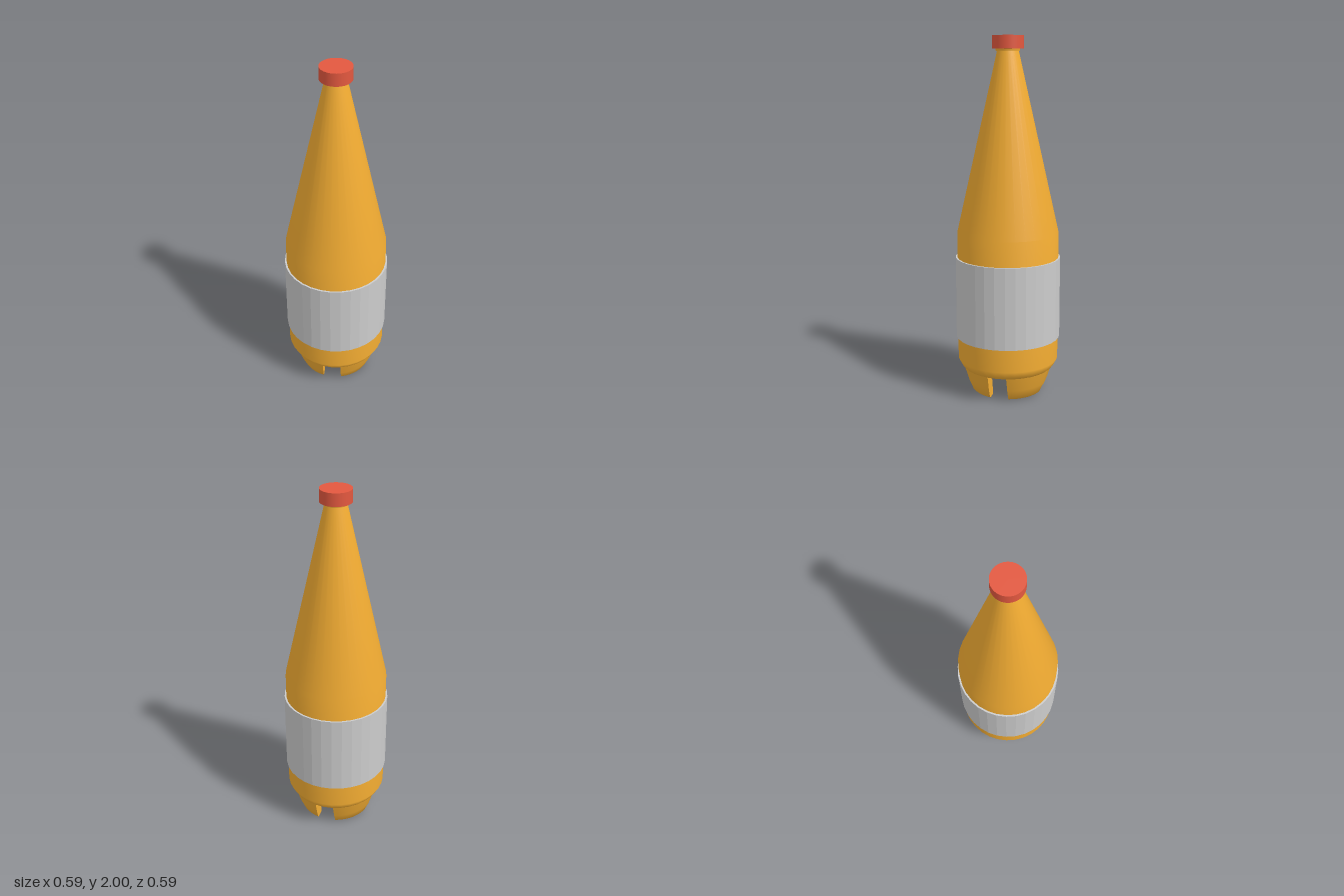
import * as THREE from 'three';
import { toCreasedNormals } from 'three/addons/utils/BufferGeometryUtils.js';

const SIDES = 32;
const SLOT_HALF = 0.053; // half width of the slots between the feet

// One foot: a closed radial section swept about the axis, trimmed by parallel-sided slots
function footGeometry() {
  const section = [[0.252, 0.142], [0.227, 0.06], [0.205, 0.008], [0.195, 0],
    [0.148, 0], [0.142, 0.01], [0.153, 0.06], [0.168, 0.142]];
  const n = section.length, steps = 12, pos = [], idx = [];
  for (let i = 0; i <= steps; i++) {
    for (const [r, y] of section) {
      const a = (Math.PI / 4 - Math.asin(SLOT_HALF / r)) * (2 * i / steps - 1);
      pos.push(r * Math.sin(a), y, r * Math.cos(a));
    }
  }
  for (let i = 0; i < steps; i++) {
    for (let j = 0; j < n; j++) {
      const k = (j + 1) % n;
      const a = i * n + j, b = i * n + k, c = a + n, d = b + n;
      idx.push(a, b, c, b, d, c);
    }
  }
  // slot walls
  const last = steps * n;
  for (let j = 1; j < n - 1; j++) {
    idx.push(0, j + 1, j, last, last + j, last + j + 1);
  }
  const g = new THREE.BufferGeometry();
  g.setAttribute('position', new THREE.Float32BufferAttribute(pos, 3));
  g.setIndex(idx);
  return toCreasedNormals(g, 0.8);
}

export function createModel() {
  const group = new THREE.Group();
  const amber = new THREE.MeshStandardMaterial({ color: 0xf5ae33, side: THREE.DoubleSide });
  const red = new THREE.MeshStandardMaterial({ color: 0xe3583f });
  const grey = new THREE.MeshStandardMaterial({ color: 0xcccccc, flatShading: true });

  const add = (name, geometry, material, y = 0) => {
    const mesh = new THREE.Mesh(geometry, material);
    mesh.name = name;
    mesh.position.y = y;
    group.add(mesh);
    return mesh;
  };

  // Bottle wall with long conical neck
  const profile = [[0.252, 0.14], [0.264, 0.152], [0.285, 0.19], [0.285, 0.92],
    [0.06, 1.915], [0.066, 1.92], [0.066, 1.94]].map(([r, y]) => new THREE.Vector2(r, y));
  add('body', new THREE.LatheGeometry(profile, SIDES), amber);

  // Underside between the feet
  add('bodyFloor', new THREE.CircleGeometry(0.252, SIDES).rotateX(Math.PI / 2), amber, 0.14);

  // Four feet
  const foot = footGeometry();
  for (let i = 0; i < 4; i++) {
    add('foot' + (i + 1), foot, amber).rotation.y = i * Math.PI / 2;
  }

  // Wrapped label band
  add('labelBand', new THREE.CylinderGeometry(0.295, 0.295, 0.46, SIDES), grey, 0.55);

  // Screw cap
  add('cap', new THREE.CylinderGeometry(0.086, 0.086, 0.07, 48), red, 1.965);

  return group;
}
